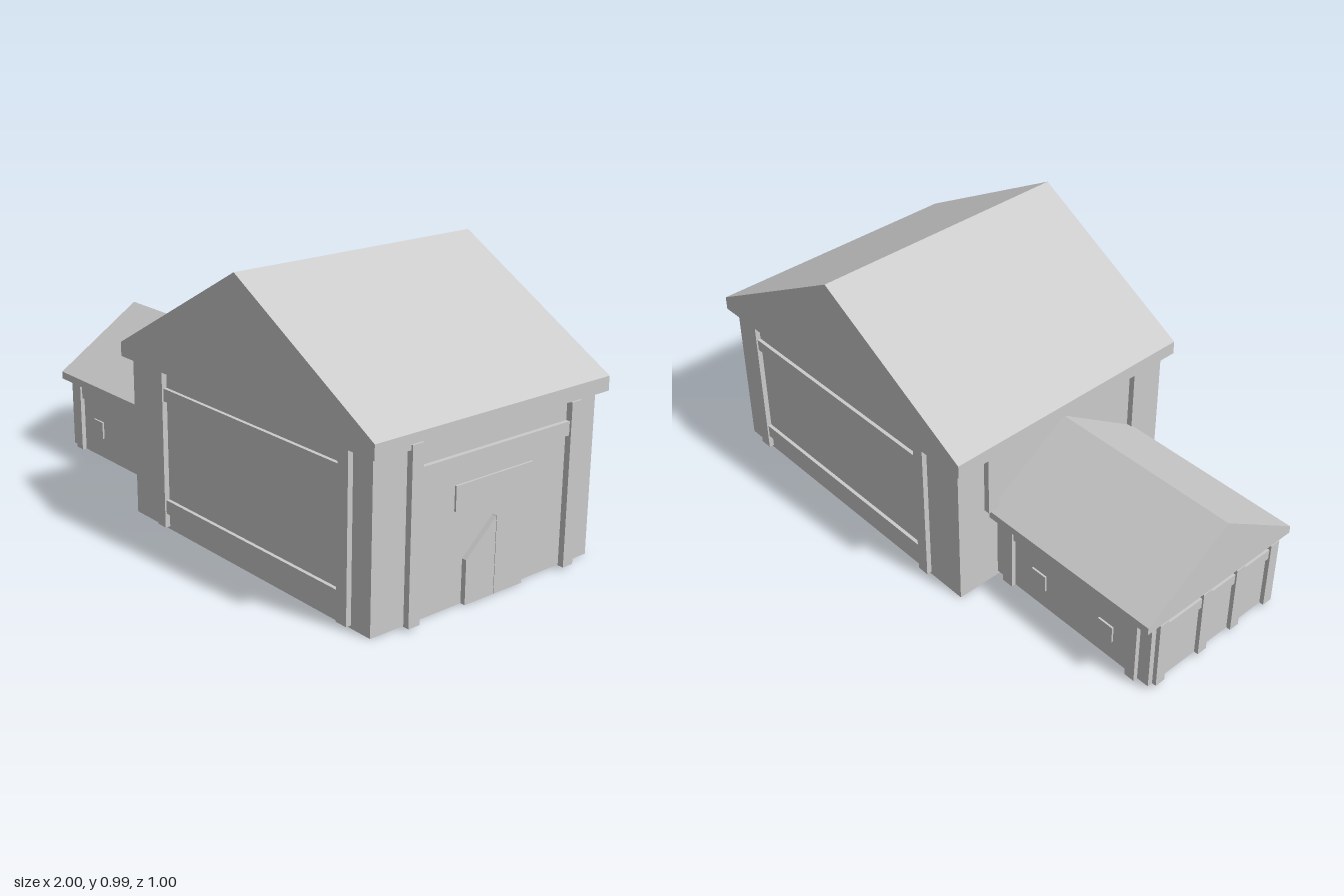
import * as THREE from 'three';

const material = new THREE.MeshStandardMaterial({ color: 0xcccccc, flatShading: true, side: THREE.DoubleSide });

export function createModel() {
  const model = new THREE.Group();

  function add(parent, name, geometry) {
    const mesh = new THREE.Mesh(geometry, material);
    mesh.name = name;
    parent.add(mesh);
    return mesh;
  }

  // Box given by its lower and upper limits on each axis
  function block(parent, name, x0, x1, y0, y1, z0, z1) {
    const g = new THREE.BoxGeometry(x1 - x0, y1 - y0, z1 - z0);
    g.translate((x0 + x1) / 2, (y0 + y1) / 2, (z0 + z1) / 2);
    return add(parent, name, g);
  }

  // Prism from a closed outline in x and y, running along z
  function prism(points, z0, z1) {
    const shape = new THREE.Shape(points.map(([x, y]) => new THREE.Vector2(x, y)));
    const g = new THREE.ExtrudeGeometry(shape, { depth: z1 - z0, bevelEnabled: false });
    g.translate(0, 0, z0);
    return g;
  }

  // Four walls, open below and above
  function walls(parent, x0, x1, y0, y1, z) {
    const shape = [[x0, -z], [x1, -z], [x1, z], [x0, z]];
    const pos = [], index = [];
    shape.forEach(([x, d], i) => {
      pos.push(x, y0, d, x, y1, d);
      const a = i * 2, b = ((i + 1) % 4) * 2;
      index.push(a, a + 1, b, b, a + 1, b + 1);
    });
    const g = new THREE.BufferGeometry();
    g.setAttribute('position', new THREE.Float32BufferAttribute(pos, 3));
    g.setIndex(index);
    const flat = g.toNonIndexed();
    flat.computeVertexNormals();
    add(parent, 'walls', flat);
  }

  // Box on the front wall, and its mirror on the back wall
  function onBothFaces(parent, name, x0, x1, y0, y1, z0, z1) {
    block(parent, name, x0, x1, y0, y1, z0, z1);
    block(parent, name, x0, x1, y0, y1, -z1, -z0);
  }

  // Main hall with its gables at front and back
  const hall = new THREE.Group();
  hall.name = 'mainHall';
  model.add(hall);
  walls(hall, -0.27, 0.957, 0, 0.58, 0.475);
  add(hall, 'mainRoof', prism(
    [[-0.305, 0.57], [0.99, 0.57], [0.99, 0.62], [0.345, 0.987], [-0.305, 0.62]], -0.5, 0.5));

  // Timber frame on the hall's front and back
  for (const [x0, x1] of [[-0.115, -0.07], [0.825, 0.872]])
    onBothFaces(hall, 'hallPost', x0, x1, 0.01, 0.57, 0.47, 0.494);
  for (const [y0, y1] of [[0.465, 0.51], [0.06, 0.11]])
    onBothFaces(hall, 'hallBeam', -0.07, 0.825, y0, y1, 0.47, 0.488);

  // Timber frame on the entrance side, standing clear of the wall
  block(hall, 'entrancePost', 0.975, 0.997, 0.01, 0.587, 0.315, 0.36);
  block(hall, 'entrancePost', 0.975, 0.997, 0.01, 0.57, -0.365, -0.32);
  block(hall, 'entranceBeam', 0.975, 0.99, 0.46, 0.507, -0.32, 0.315);

  // Posts on the side that meets the annex
  for (const s of [-1, 1])
    block(hall, 'innerPost', -0.292, -0.265, 0.33, 0.57, s * 0.34 - 0.022, s * 0.34 + 0.022);

  // Blank panel over the pointed double door
  block(hall, 'panel', 0.95, 0.964, 0.315, 0.398, -0.19, 0.145);
  for (const s of [-1, 1]) {
    const leaf = prism(s > 0
      ? [[0.001, 0], [0.126, 0], [0.126, 0.15], [0.001, 0.262]]
      : [[-0.126, 0], [-0.001, 0], [-0.001, 0.262], [-0.126, 0.15]], 0, 0.02);
    leaf.rotateY(Math.PI / 2);
    leaf.translate(0.955, 0, -0.022);
    add(hall, 'doorLeaf', leaf);
  }

  // Low annex with its ridge running into the hall
  const annex = new THREE.Group();
  annex.name = 'annex';
  model.add(annex);
  walls(annex, -0.982, -0.27, 0.015, 0.29, 0.305);
  const annexRoof = prism(
    [[-0.34, 0.285], [0.34, 0.285], [0.34, 0.313], [0, 0.537], [-0.34, 0.313]], 0, 0.735);
  annexRoof.rotateY(Math.PI / 2);
  annexRoof.translate(-0.995, 0, 0);
  add(annex, 'annexRoof', annexRoof);

  // Annex frame and windows, front and back
  for (const [x0, x1] of [[-0.935, -0.895], [-0.36, -0.315]])
    onBothFaces(annex, 'annexPost', x0, x1, 0.015, 0.285, 0.3, 0.322);
  onBothFaces(annex, 'annexBeam', -0.895, -0.36, 0.225, 0.272, 0.3, 0.314);
  for (const x of [-0.79, -0.48])
    onBothFaces(annex, 'window', x - 0.032, x + 0.032, 0.095, 0.16, 0.3, 0.312);

  // Annex frame on the gable end
  for (const z of [-0.265, -0.065, 0.095, 0.265])
    block(annex, 'endPost', -0.998, -0.978, 0.015, 0.285, z - 0.02, z + 0.02);
  block(annex, 'endBeam', -0.992, -0.978, 0.225, 0.265, -0.245, 0.245);

  return model;
}
